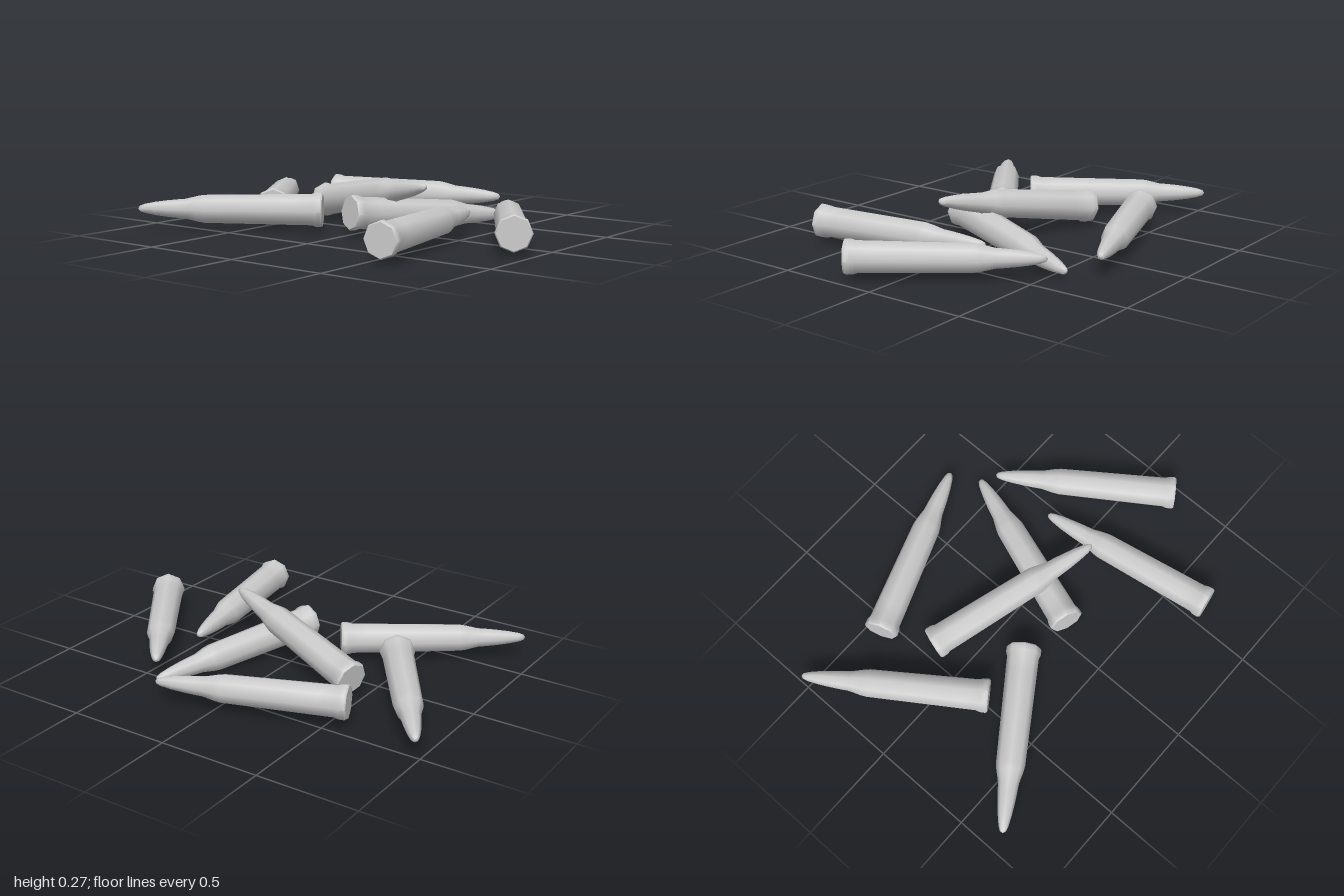
import * as THREE from 'three';
import { toCreasedNormals } from 'three/addons/utils/BufferGeometryUtils.js';

const LENGTH = 0.905;

// Radius and distance from the base along one cartridge
const PROFILE = [
  [0, 0], [0.079, 0], [0.085, 0.008], [0.084, 0.035], [0.077, 0.055],
  [0.076, 0.13], [0.069, 0.58], [0.064, 0.61], [0.049, 0.67], [0.046, 0.71],
  [0.041, 0.76], [0.033, 0.82], [0.023, 0.872], [0.014, 0.896], [0, LENGTH],
];

// Base centre and tip of every cartridge in the scattered pile
const PLACES = [
  { name: 'cartridgeBackLeftCorner', base: [-0.475, 0.115, 0.21], tip: [-0.99, 0.115, -0.53] },
  { name: 'cartridgeBack', base: [-0.58, 0.12, -0.4], tip: [0.265, 0.12, -0.71] },
  { name: 'cartridgeUnderCrossing', base: [0.05, 0.13, 0.25], tip: [0.36, 0.053, -0.59] },
  { name: 'cartridgeFarSide', base: [0.93, 0.115, 0.21], tip: [0.415, 0.115, -0.53] },
  { name: 'cartridgeFront', base: [0.575, 0.115, 0.7], tip: [0.422, 0.115, -0.195] },
  { name: 'cartridgeFrontCorner', base: [-0.18, 0.115, 0.175], tip: [-0.92, 0.115, 0.69] },
  { name: 'cartridgeOverCrossing', base: [-0.455, 0.105, -0.17], tip: [0.38, 0.264, 0.11] },
];

export function createModel() {
  const group = new THREE.Group();
  group.name = 'scatteredCartridges';
  const material = new THREE.MeshStandardMaterial({ color: 0xcccccc });

  // Eight-sided case with rim, shoulder and blunt bullet; smooth around, sharp at the base
  const points = PROFILE.map(([r, y]) => new THREE.Vector2(r, y));
  const geometry = toCreasedNormals(new THREE.LatheGeometry(points, 8), 0.87);

  for (const { name, base, tip } of PLACES) {
    const mesh = new THREE.Mesh(geometry, material);
    mesh.name = name;
    mesh.position.set(...base);
    // Lay the axis from base to tip, one corner of the octagon pointing up
    const axis = new THREE.Vector3(...tip).sub(mesh.position).normalize();
    const side = new THREE.Vector3().crossVectors(axis, new THREE.Vector3(0, 1, 0)).normalize();
    const up = new THREE.Vector3().crossVectors(side, axis);
    mesh.quaternion.setFromRotationMatrix(new THREE.Matrix4().makeBasis(side, axis, up.clone()));
    group.add(mesh);
  }
  return group;
}
